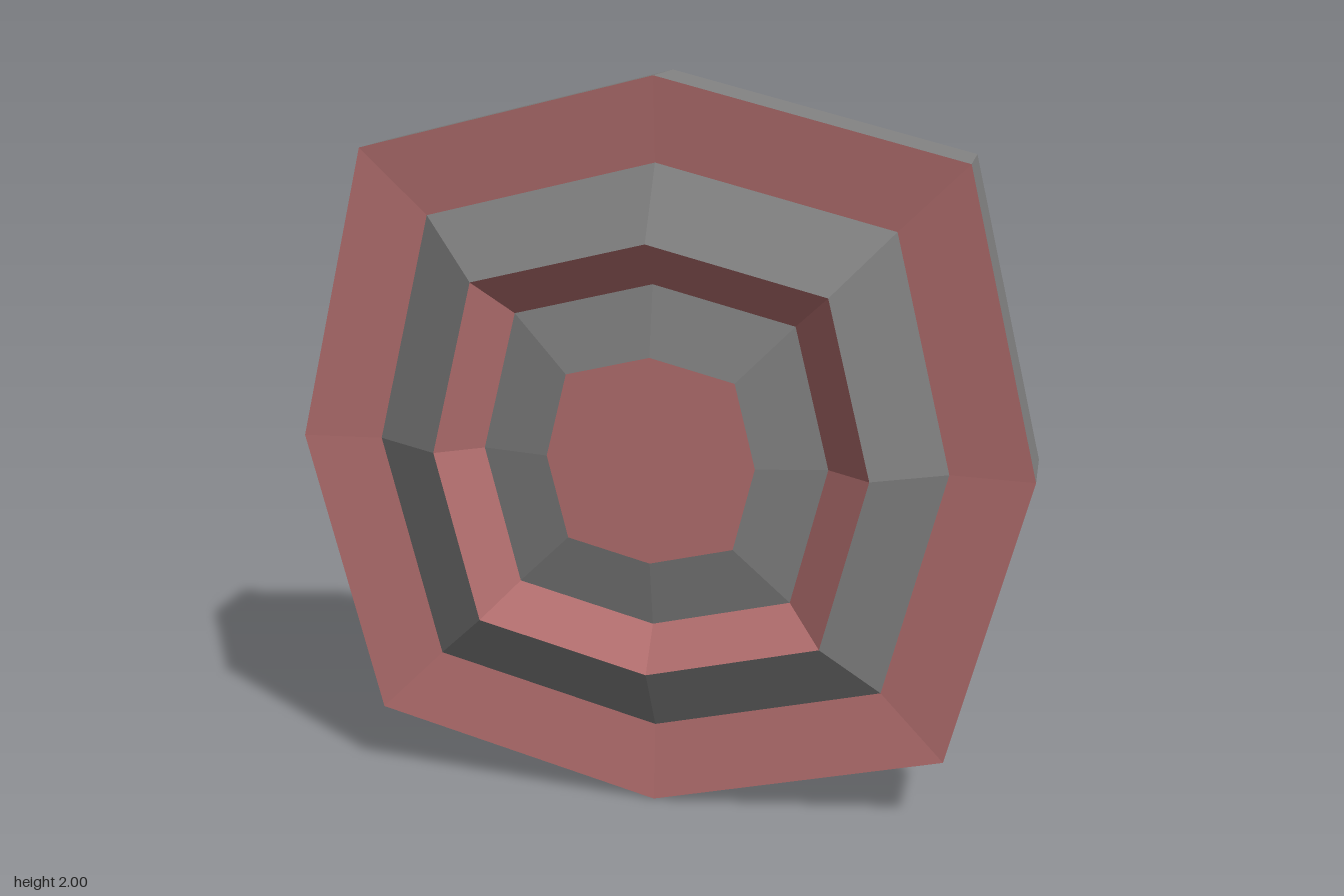
import * as THREE from 'three';

// Eight corners of the outline, anticlockwise seen from the front
const D = 0.8;
const CORNERS = [[1, 0], [D, D], [0, 1], [-D, D], [-1, 0], [-D, -D], [0, -1], [D, -D]];

// Faceted band between an outer and an inner ring, each given as [radius, z]
function band(name, outer, inner, material) {
  const at = ([r, z], i) => {
    const [x, y] = CORNERS[i % 8];
    return [x * r, y * r, z];
  };
  const positions = [];
  for (let i = 0; i < 8; i++) {
    const a = at(outer, i), b = at(outer, i + 1);
    const c = at(inner, i + 1), d = at(inner, i);
    if (outer[0] > 0) positions.push(...a, ...b, ...c);
    if (inner[0] > 0) positions.push(...a, ...c, ...d);
  }
  const geometry = new THREE.BufferGeometry();
  geometry.setAttribute('position', new THREE.Float32BufferAttribute(positions, 3));
  geometry.computeVertexNormals();
  const mesh = new THREE.Mesh(geometry, material);
  mesh.name = name;
  return mesh;
}

export function createModel() {
  const grey = new THREE.MeshStandardMaterial({ color: 0x808080 });
  grey.name = 'grey metal';
  const red = new THREE.MeshStandardMaterial({ color: 0xb57070 });
  red.name = 'dull red';

  // Cross-section rings from the back centre round to the front centre
  const backCentre = [0, -0.157], backRim = [1, -0.157], frontRim = [1, 0.065];
  const ridgeFoot = [0.78, 0.045], ridgeCrest = [0.587, 0.157];
  const dishFoot = [0.47, 0.072], bossEdge = [0.283, 0.11], bossCentre = [0, 0.11];

  const model = new THREE.Group();
  model.name = 'octagonalShield';
  model.add(
    band('backPlate', backCentre, backRim, grey),
    band('rimSide', backRim, frontRim, grey),
    band('outerRing', frontRim, ridgeFoot, red),
    band('ridgeOuterSlope', ridgeFoot, ridgeCrest, grey),
    band('ridgeInnerSlope', ridgeCrest, dishFoot, red),
    band('bossSlope', dishFoot, bossEdge, grey),
    band('bossFace', bossEdge, bossCentre, red),
  );
  model.position.y = 1;

  const root = new THREE.Group();
  root.name = 'shield';
  root.add(model);
  return root;
}
